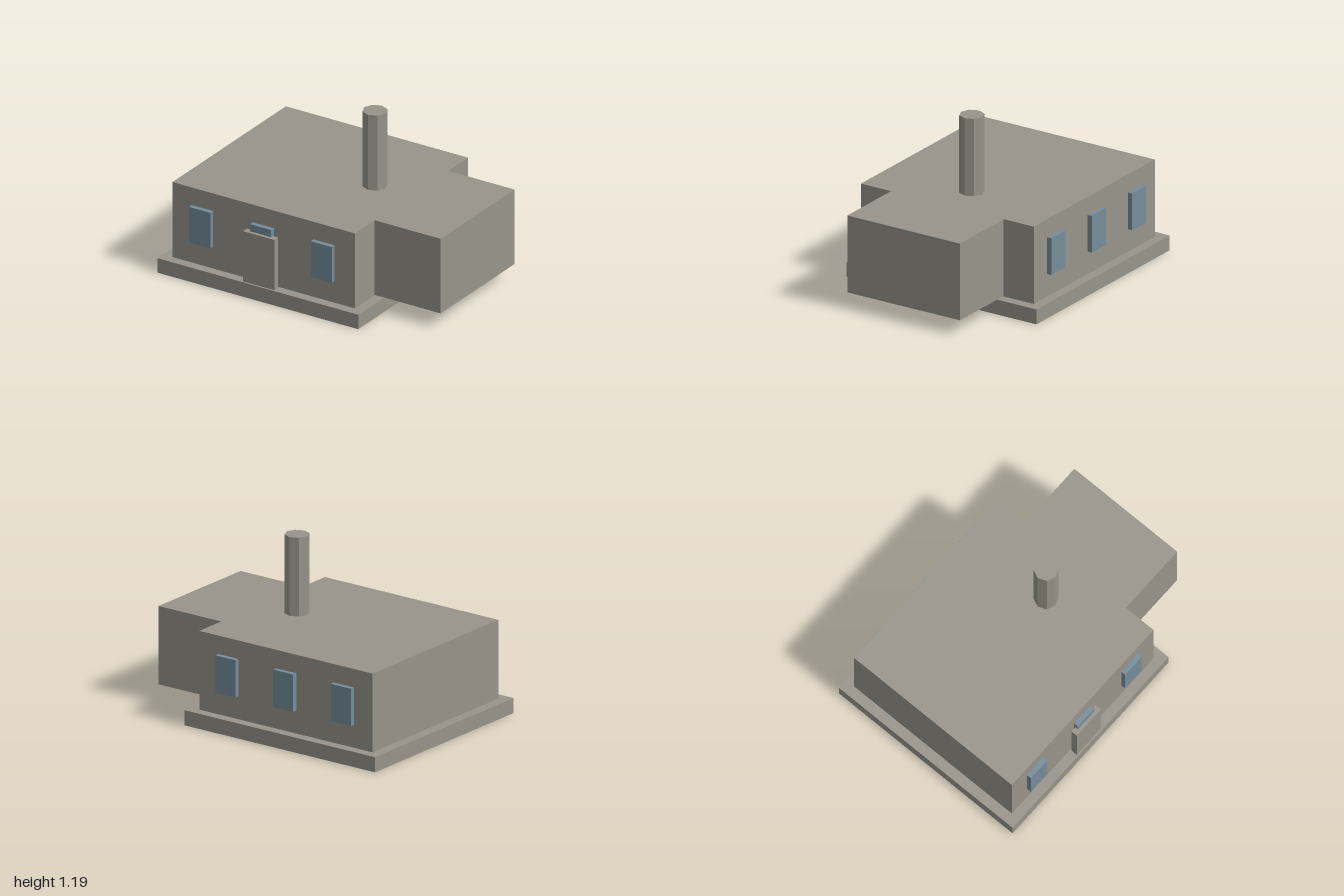
import * as THREE from 'three';

export function createModel() {
  const model = new THREE.Group();
  const stone = new THREE.MeshStandardMaterial({ color: 0x98948a });
  stone.name = 'stone';
  const glass = new THREE.MeshStandardMaterial({ color: 0x758d9a });
  glass.name = 'glass';

  // Box given by its minimum and maximum corners
  function box(name, material, [x0, y0, z0], [x1, y1, z1]) {
    const mesh = new THREE.Mesh(new THREE.BoxGeometry(x1 - x0, y1 - y0, z1 - z0), material);
    mesh.position.set((x0 + x1) / 2, (y0 + y1) / 2, (z0 + z1) / 2);
    mesh.name = name;
    model.add(mesh);
  }

  // Plinth, main building and the overhanging side wing
  box('plinth', stone, [-1, 0, -0.745], [0.558, 0.104, 0.745]);
  box('mainBuilding', stone, [-0.928, 0.104, -0.677], [0.488, 0.646, 0.677]);
  box('sideWing', stone, [0.488, 0.107, -0.441], [1, 0.646, 0.441]);

  // Front door, standing just proud of the wall
  box('door', stone, [-0.344, 0.104, 0.687], [-0.102, 0.467, 0.733]);

  // Three windows on the front and three on the back
  for (const x of [-0.695, -0.223, 0.249]) {
    box('frontWindow', glass, [x - 0.082, 0.262, 0.677], [x + 0.082, 0.519, 0.71]);
    box('backWindow', glass, [x - 0.082, 0.262, -0.71], [x + 0.082, 0.519, -0.677]);
  }

  // Octagonal chimney, with flat facets
  const shaft = new THREE.CylinderGeometry(0.083, 0.083, 0.542, 8).toNonIndexed();
  shaft.computeVertexNormals();
  const chimney = new THREE.Mesh(shaft, stone);
  chimney.position.set(0.203, 0.917, 0);
  chimney.name = 'chimney';
  model.add(chimney);

  return model;
}
